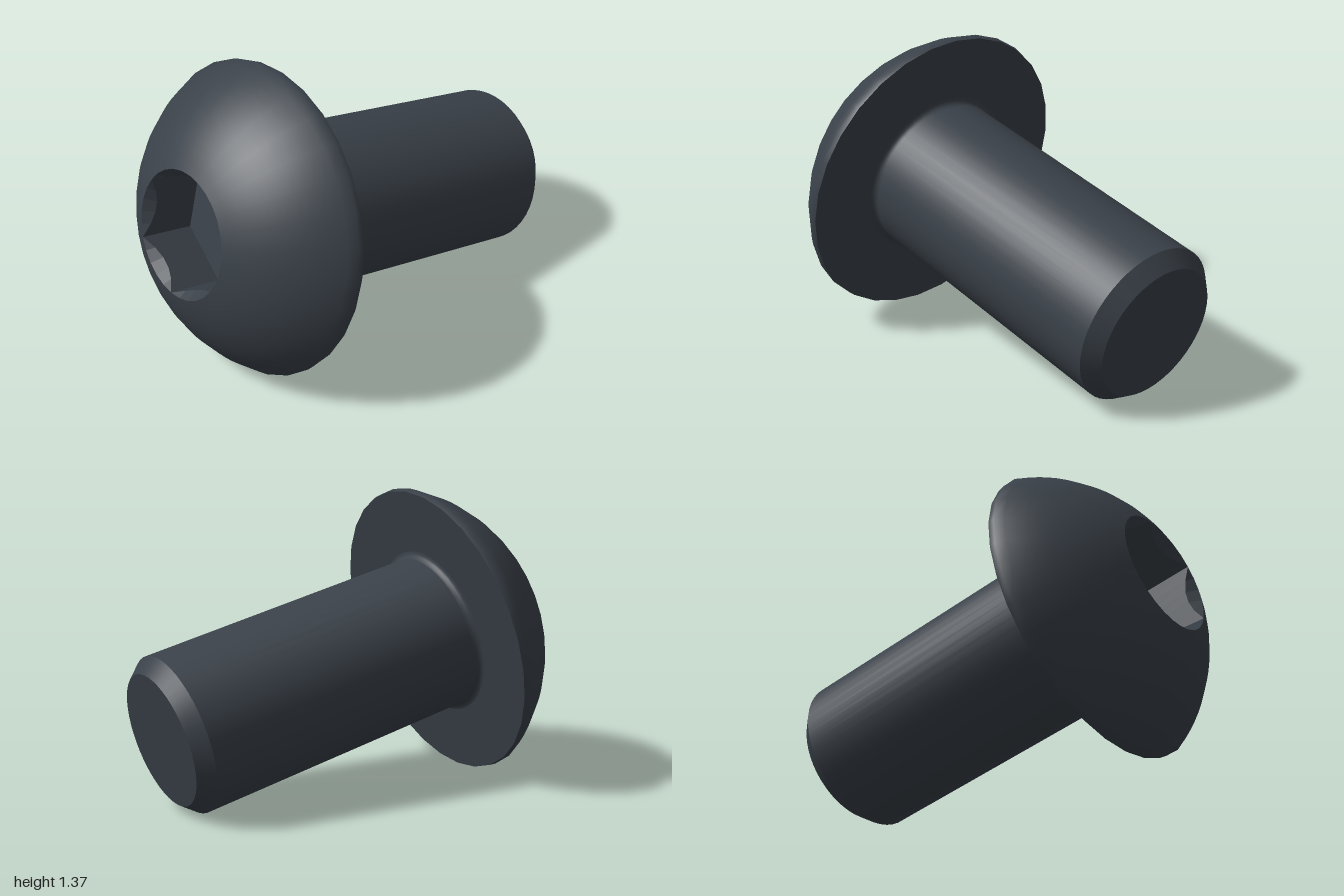
import * as THREE from 'three';

const HEAD_R = 0.702, HEAD_H = 0.41, RIM_H = 0.03, SHAFT_R = 0.37, TIP_R = 0.31, LENGTH = 1.478;
const SOCKET_R = 0.2844, SOCKET_DEPTH = 0.255, HEAD_SEGMENTS = 30;

export function createModel() {
  const steel = new THREE.MeshStandardMaterial({ color: 0x3a4149 });
  steel.name = 'dark steel';
  const group = new THREE.Group();
  group.name = 'screw';

  const add = (name, geometry) => {
    const mesh = new THREE.Mesh(geometry, steel);
    mesh.name = name;
    group.add(mesh);
  };
  const turned = (name, profile, segments) =>
    add(name, new THREE.LatheGeometry(profile.map(([r, y]) => new THREE.Vector2(r, y)), segments));

  // Shaft: end face, chamfer, cylinder and root fillet (head underside at y = 0)
  turned('shaftEnd', [[0, -LENGTH], [TIP_R, -LENGTH]], 48);
  turned('shaftChamfer', [[TIP_R, -LENGTH], [SHAFT_R, -LENGTH + 0.07]], 48);
  turned('shaft', [[SHAFT_R, -LENGTH + 0.07], [SHAFT_R, -0.03]], 48);
  const fillet = [];
  for (let i = 0; i <= 4; i++) {
    const a = (i / 4) * Math.PI / 2;
    fillet.push([SHAFT_R + 0.03 * (1 - Math.cos(a)), -0.03 + 0.03 * Math.sin(a)]);
  }
  turned('rootFillet', fillet, 48);

  // Head: flat underside, thin rim and spherical dome ending at the socket
  turned('headUnderside', [[SHAFT_R, 0], [HEAD_R - 0.005, 0]], HEAD_SEGMENTS);
  const h = HEAD_H - RIM_H;
  const drop = (HEAD_R ** 2 - SOCKET_R ** 2 - h * h) / (2 * h);
  const radius = Math.hypot(HEAD_R, drop);
  const from = Math.atan2(drop, HEAD_R), to = Math.atan2(drop + h, SOCKET_R);
  const dome = [[HEAD_R - 0.005, 0]];
  for (let i = 0; i <= 12; i++) {
    const a = from + (to - from) * i / 12;
    dome.push([radius * Math.cos(a), RIM_H - drop + radius * Math.sin(a)]);
  }
  turned('headDome', dome, HEAD_SEGMENTS);

  add('hexSocket', socketGeometry());

  // Lean the screw: local +y runs out of the head, a socket corner points up
  const axis = new THREE.Vector3(-0.951, 0.23, -0.206).normalize();
  const up = new THREE.Vector3(0, 1, 0).addScaledVector(axis, -axis.y).normalize();
  const side = new THREE.Vector3().crossVectors(axis, up);
  group.quaternion.setFromRotationMatrix(new THREE.Matrix4().makeBasis(side, axis, up));
  group.position.set(-0.505, 0.685, 0);

  const model = new THREE.Group();
  model.name = 'buttonHeadScrew';
  model.add(group);
  return model;
}

// Round countersunk mouth cut into a hexagonal recess with a flat floor
function socketGeometry() {
  const n = HEAD_SEGMENTS, rings = [[], [], []], positions = [];
  const floorY = HEAD_H - SOCKET_DEPTH;
  const flat = SOCKET_R * Math.cos(Math.PI / 6);
  for (let i = 0; i <= n; i++) {
    const a = (i / n) * Math.PI * 2;
    const within = (i % (n / 6)) / (n / 6) * Math.PI / 3 - Math.PI / 6;
    const hexR = flat / Math.cos(within);
    const at = (r, y) => [r * Math.sin(a), y, r * Math.cos(a)];
    rings[0].push(at(SOCKET_R, HEAD_H));
    rings[1].push(at(hexR, HEAD_H - (SOCKET_R - hexR) * 1.3));
    rings[2].push(at(hexR, floorY));
  }
  const tri = (...corners) => corners.forEach((c) => positions.push(...c));
  for (let i = 0; i < n; i++) {
    for (let k = 0; k < 2; k++) {
      const top = rings[k], low = rings[k + 1];
      tri(low[i], top[i + 1], low[i + 1]);
      tri(low[i], top[i], top[i + 1]);
    }
    tri([0, floorY, 0], rings[2][i], rings[2][i + 1]);
  }
  const geometry = new THREE.BufferGeometry();
  geometry.setAttribute('position', new THREE.Float32BufferAttribute(positions, 3));
  geometry.computeVertexNormals();
  return geometry;
}
